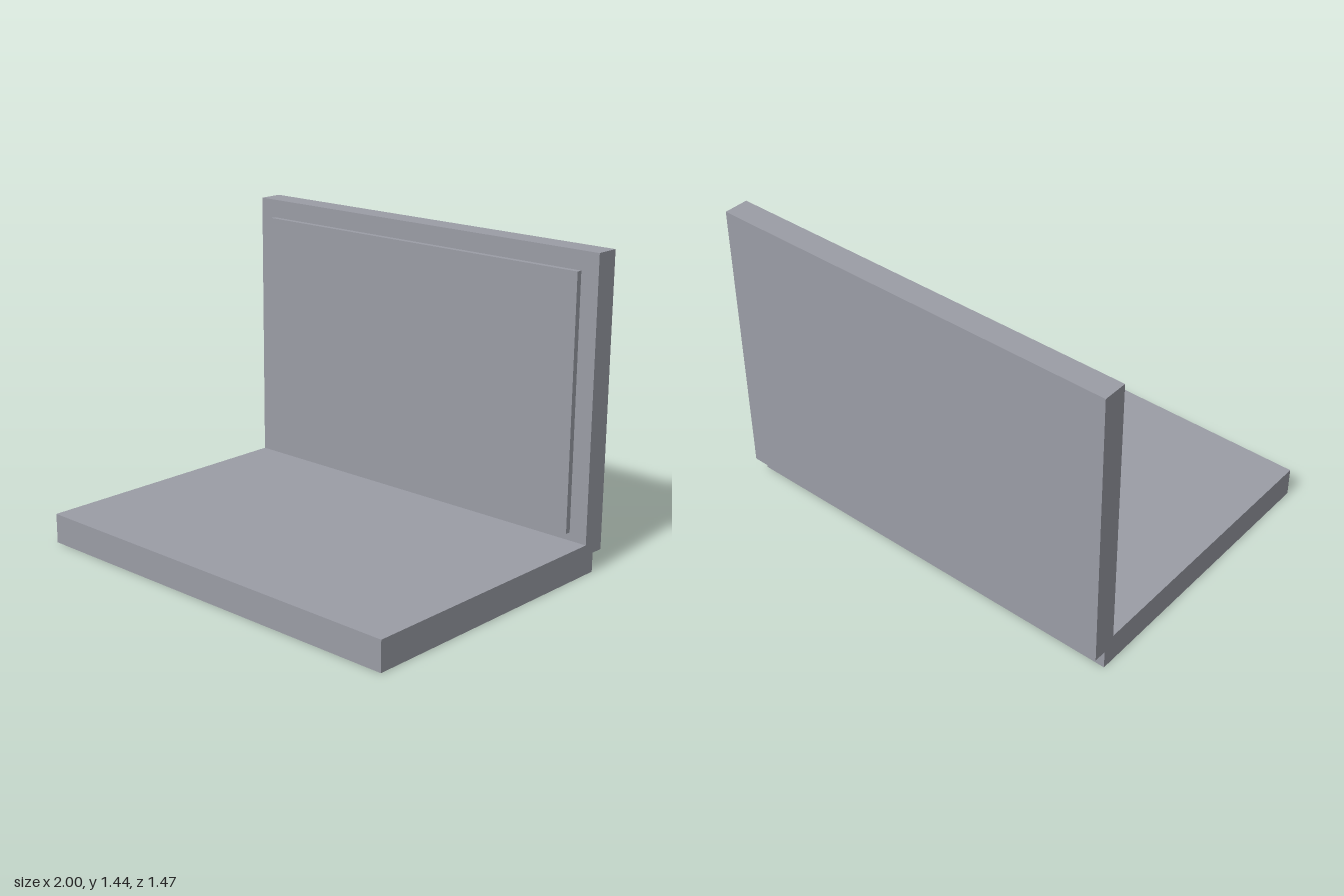
import * as THREE from 'three';

export function createModel() {
  const model = new THREE.Group();
  model.name = 'laptop';

  const grey = new THREE.MeshStandardMaterial({ color: 0x9b9da6 });
  grey.name = 'grey';

  // Box given by its width and its y and z ranges, centred on x = 0
  function addSlab(name, width, [y0, y1], [z0, z1]) {
    const mesh = new THREE.Mesh(new THREE.BoxGeometry(width, y1 - y0, z1 - z0), grey);
    mesh.name = name;
    mesh.position.set(0, (y0 + y1) / 2, (z0 + z1) / 2);
    model.add(mesh);
  }

  // Keyboard half lying flat
  addSlab('base', 2, [0, 0.14], [-0.673, 0.733]);
  // Upright lid, overhanging the back of the base
  addSlab('lid', 2, [0.09, 1.442], [-0.733, -0.617]);
  // Raised screen panel on the front of the lid
  addSlab('screen', 1.824, [0.178, 1.355], [-0.62, -0.59]);

  return model;
}
